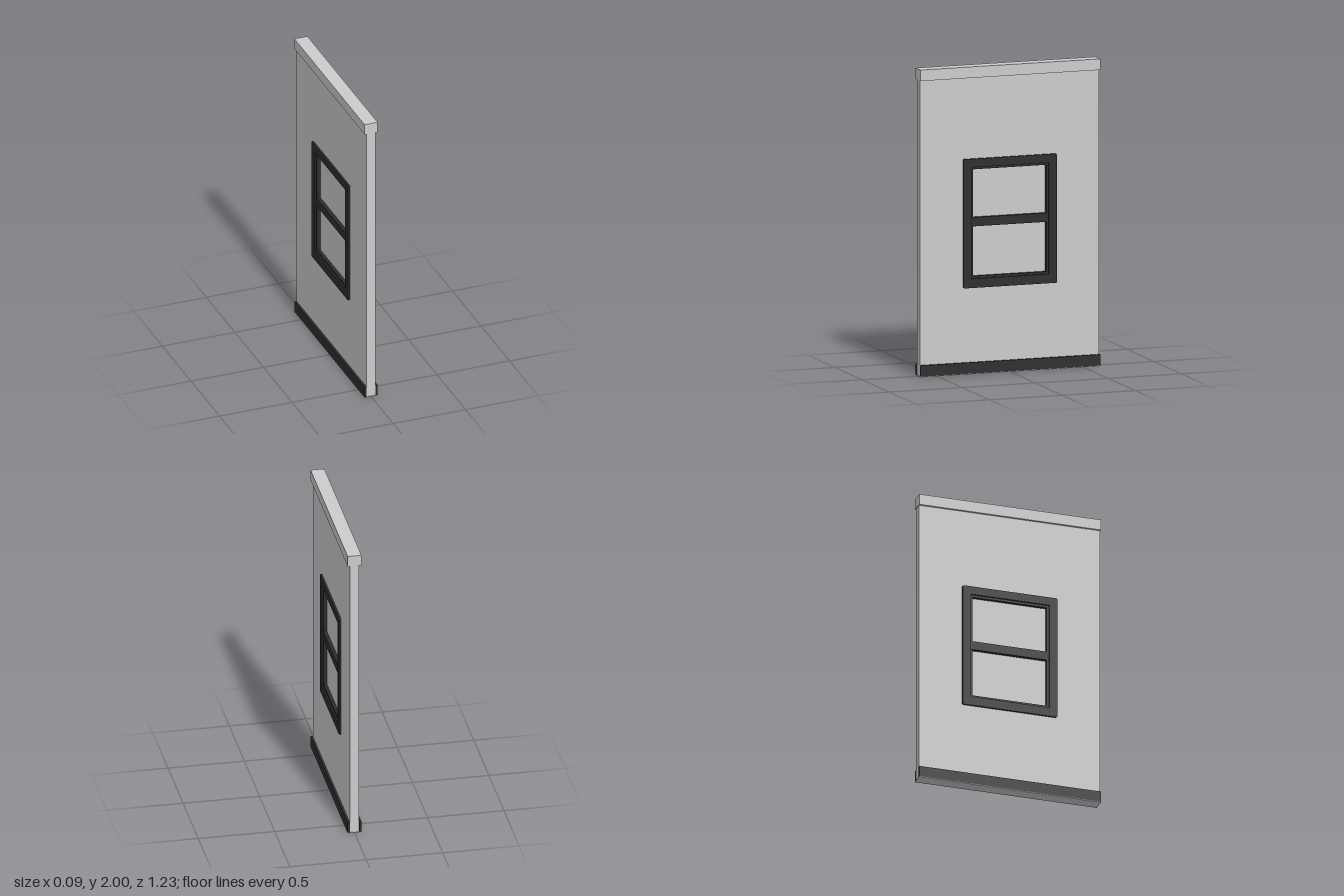
import * as THREE from 'three';

export function createModel() {
  const plaster = new THREE.MeshStandardMaterial({ color: 0xcccccc });
  plaster.name = 'pale grey plaster';
  const trim = new THREE.MeshStandardMaterial({ color: 0x2e2e2e });
  trim.name = 'charcoal trim';

  const model = new THREE.Group();
  model.name = 'windowWallPanel';

  const add = (name, geometry, material, x = 0, y = 0, z = 0) => {
    const mesh = new THREE.Mesh(geometry, material);
    mesh.name = name;
    mesh.position.set(x, y, z);
    model.add(mesh);
    return mesh;
  };

  // Outline with optional chamfered corners
  const outline = (halfWidth, bottom, top, c = 0) => {
    const w = halfWidth;
    const points = c
      ? [[-w + c, bottom], [w - c, bottom], [w, bottom + c], [w, top - c],
         [w - c, top], [-w + c, top], [-w, top - c], [-w, bottom + c]]
      : [[-w, bottom], [w, bottom], [w, top], [-w, top]];
    return points.map(([a, b]) => new THREE.Vector2(a, b));
  };

  // Upright slab with a rectangular opening, centred through the wall thickness
  const openSlab = (outer, inner, thickness) => {
    const shape = new THREE.Shape(outer);
    shape.holes.push(new THREE.Path(inner));
    return new THREE.ExtrudeGeometry(shape, { depth: thickness, bevelEnabled: false })
      .translate(0, 0, -thickness / 2)
      .rotateY(Math.PI / 2);
  };

  // Wall, with its opening hidden behind the window casing
  const opening = outline(0.265, 0.62, 1.345);
  add('wall', openSlab(outline(0.612, 0, 1.96), opening, 0.06), plaster);

  // Cap rail along the top
  add('capRail', new THREE.BoxGeometry(0.09, 0.072, 1.23), plaster, 0, 1.964, 0);

  // Skirting boards on both faces, over a thin sole plate
  add('solePlate', new THREE.BoxGeometry(0.09, 0.004, 1.23), plaster, 0, 0.002, 0);
  for (const side of [1, -1]) {
    add(side > 0 ? 'leftSkirting' : 'rightSkirting',
      new THREE.BoxGeometry(0.014, 0.072, 1.23), trim, side * 0.038, 0.04, 0);
  }

  // Window: casing, recessed sash, middle rail and pane
  add('windowCasing', openSlab(outline(0.32, 0.56, 1.4, 0.006), opening, 0.086), trim);
  add('windowSash', openSlab(opening, outline(0.25, 0.635, 1.33), 0.064), trim);
  add('middleRail', new THREE.BoxGeometry(0.068, 0.058, 0.524), trim, 0, 0.988, 0);
  add('windowPane', new THREE.BoxGeometry(0.02, 0.71, 0.515), plaster, 0, 0.9825, 0);

  return model;
}
